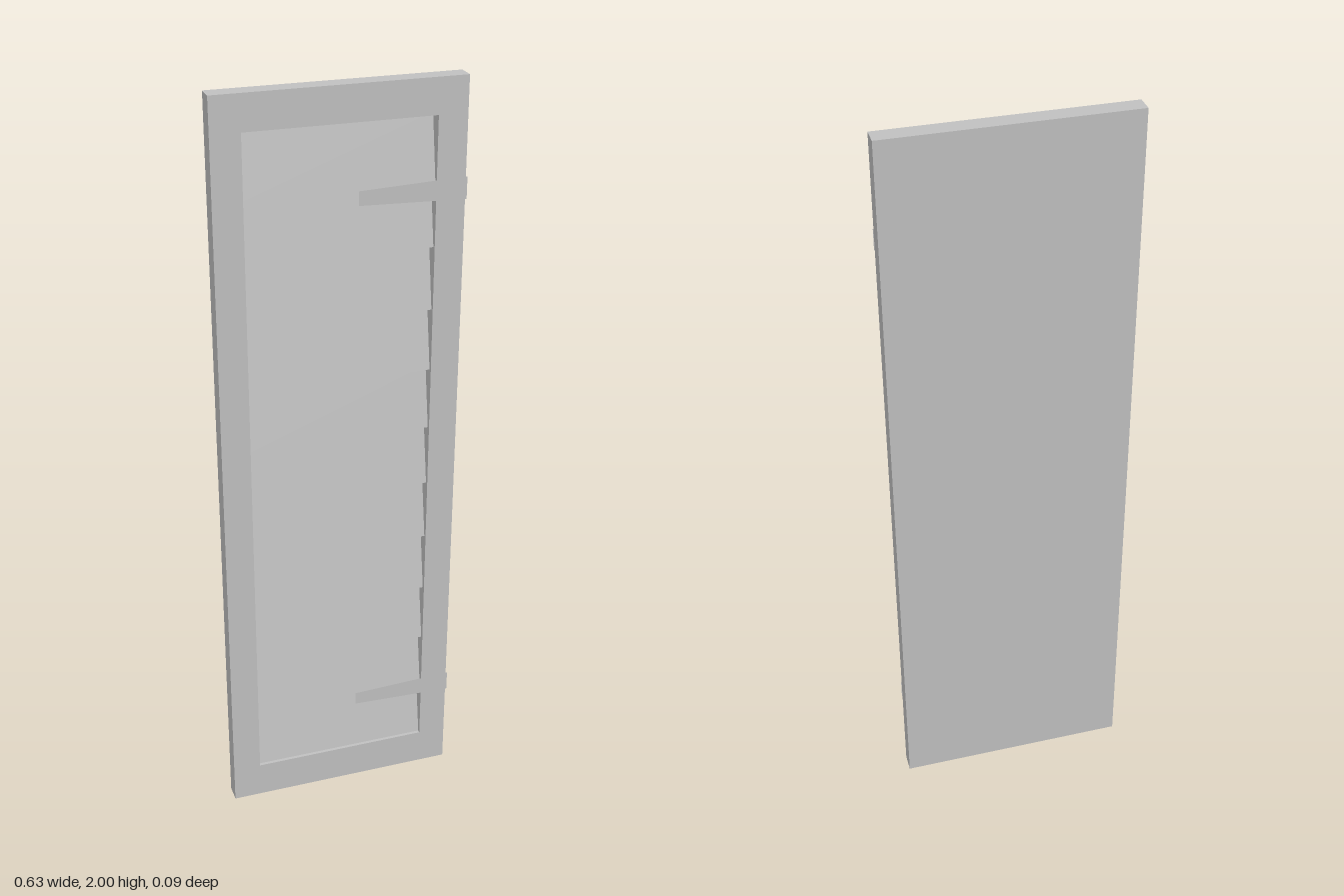
import * as THREE from 'three';

export function createModel() {
  const group = new THREE.Group();
  const grey = new THREE.MeshStandardMaterial({ color: 0xc0c0c0, side: THREE.DoubleSide });
  grey.name = 'grey paint';

  const add = (name, geometry, x = 0, y = 0, z = 0) => {
    const mesh = new THREE.Mesh(geometry, grey);
    mesh.name = name;
    mesh.position.set(x, y, z);
    group.add(mesh);
    return mesh;
  };
  const polygon = (points) => new THREE.Shape(points.map(([x, y]) => new THREE.Vector2(x, y)));

  const halfW = 0.315, openW = 0.24, openBottom = 0.1, openTop = 1.91;
  const back = -0.015, board = -0.008, front = 0.033;

  // Solid board closing the back
  add('backBoard', new THREE.BoxGeometry(halfW * 2, 2, board - back), 0, 1, (back + board) / 2);

  // Surrounding frame with one tall opening
  const outline = polygon([[-halfW, 0], [halfW, 0], [halfW, 2], [-halfW, 2]]);
  outline.holes.push(polygon([[-openW, openBottom], [-openW, openTop], [openW, openTop], [openW, openBottom]]));
  add('frame', new THREE.ExtrudeGeometry(outline, { depth: front - board, bevelEnabled: false }), 0, 0, board);

  // Louvre slats: wedges leaning back towards the top
  const count = 11, pitch = (openTop - openBottom) / count;
  const wedge = new THREE.ExtrudeGeometry(
    polygon([[-board, 0], [-board, pitch], [0.004, pitch], [-0.024, 0]]),
    { depth: openW * 2, bevelEnabled: false }
  );
  wedge.rotateY(Math.PI / 2);
  for (let i = 0; i < count; i++) add('slat', wedge, -openW, openBottom + i * pitch, 0);

  // Tapered strap hinges, sheet thin, just proud of the front
  const strap = new THREE.ShapeGeometry(
    polygon([[0.04, -0.018], [halfW, -0.028], [halfW, 0.028], [0.04, 0.018]])
  );
  for (const y of [0.275, 1.73]) add('hingeStrap', strap, 0, y, 0.043);

  // Sheet-thin battens standing off the back
  const batten = new THREE.PlaneGeometry(0.54, 0.11);
  batten.rotateY(Math.PI);
  for (const y of [0.355, 1.645]) add('backBatten', batten, 0, y, -0.043);

  return group;
}
